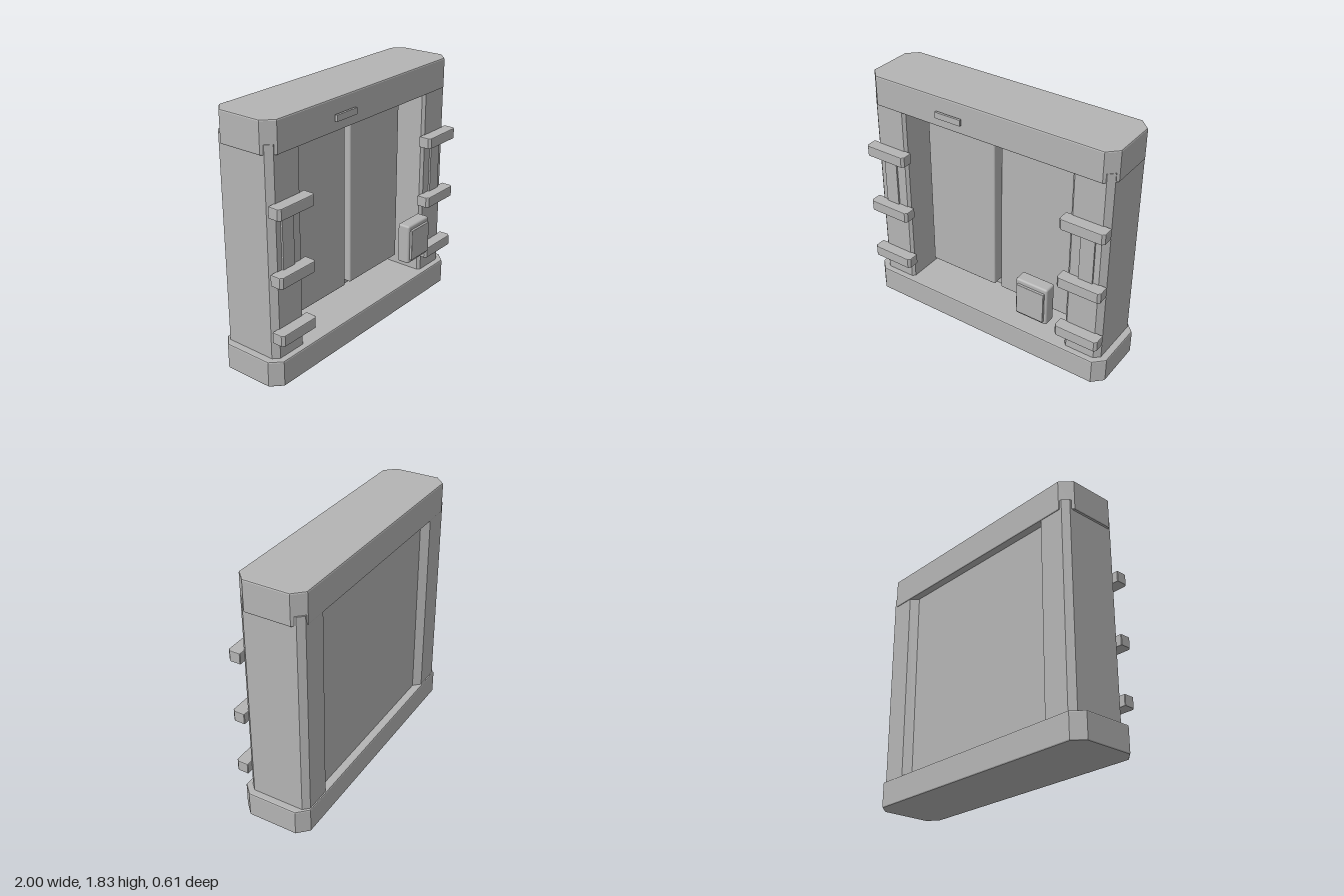
import * as THREE from 'three';
import { RoundedBoxGeometry } from 'three/addons/geometries/RoundedBoxGeometry.js';

export function createModel() {
  const model = new THREE.Group();
  model.name = 'gateway';
  const grey = new THREE.MeshStandardMaterial({ color: 0xb4b4b4 });
  grey.name = 'grey metal';

  function add(name, geometry) {
    const mesh = new THREE.Mesh(geometry, grey);
    mesh.name = name;
    model.add(mesh);
  }

  // Box given by its extents, with slightly softened edges
  function block(name, [x0, x1], [y0, y1], [z0, z1], r = 0) {
    const w = x1 - x0, h = y1 - y0, d = z1 - z0;
    const g = r ? new RoundedBoxGeometry(w, h, d, 2, r) : new THREE.BoxGeometry(w, h, d);
    g.translate((x0 + x1) / 2, (y0 + y1) / 2, (z0 + z1) / 2);
    add(name, g);
  }

  // Upright prism with cut corners: cuts are front-left(-x), front-right, back-right, back-left
  function prism(name, [x0, x1], [y0, y1], [z0, z1], [a, b, c, d], bevel = 0.01) {
    const shape = new THREE.Shape([
      [x0, -z1 + a], [x0 + a, -z1], [x1 - b, -z1], [x1, -z1 + b],
      [x1, -z0 - c], [x1 - c, -z0], [x0 + d, -z0], [x0, -z0 - d],
    ].map(([x, y]) => new THREE.Vector2(x, y)));
    const g = new THREE.ExtrudeGeometry(shape, {
      depth: y1 - y0 - 2 * bevel,
      bevelEnabled: bevel > 0, bevelThickness: bevel, bevelSize: bevel,
      bevelOffset: -bevel, bevelSegments: 2,
    });
    g.rotateX(-Math.PI / 2);
    g.translate(0, y0 + bevel, 0);
    add(name, g);
  }

  // Frame: base, header and recessed wall
  prism('base', [-1, 1], [0, 0.19], [-0.305, 0.21], [0.075, 0.075, 0.075, 0.075]);
  prism('header', [-0.965, 0.965], [1.6, 1.825], [-0.3, 0.18], [0.075, 0.075, 0.075, 0.075]);
  block('backWall', [-0.68, 0.68], [0.18, 1.61], [-0.245, -0.15]);

  // Door leaves
  block('rightDoor', [-0.595, -0.03], [0.3, 1.61], [-0.16, 0], 0.01);
  block('leftDoor', [0.025, 0.59], [0.3, 1.61], [-0.16, 0], 0.01);

  // Pillars with their clamps and plates, mirrored
  for (const side of [1, -1]) {
    const label = side > 0 ? 'left' : 'right';
    const span = (inner, outer) => (side > 0 ? [inner, outer] : [-outer, -inner]);
    const cuts = side > 0 ? [0.02, 0.04, 0.04, 0.05] : [0.04, 0.02, 0.05, 0.04];
    prism(label + 'Pillar', span(0.67, 0.95), [0.18, 1.67], [-0.295, 0.165], cuts, 0);
    for (const y of [0.33, 0.745, 1.21]) {
      prism(label + 'Clamp', span(0.635, 0.968), [y, y + 0.08], [0.155, 0.25],
        [0.018, 0.018, 0.004, 0.004], 0.006);
    }
    block(label + 'Plate', span(0.762, 0.868), [0.81, 1.2], [0.15, 0.178]);
  }

  // Keypad and header badge
  block('keypad', [0.345, 0.595], [0.41, 0.71], [0.19, 0.287], 0.015);
  block('keypadScreen', [0.363, 0.577], [0.44, 0.675], [0.27, 0.305], 0.004);
  block('badge', [-0.365, -0.16], [1.675, 1.72], [0.19, 0.207]);

  return model;
}
